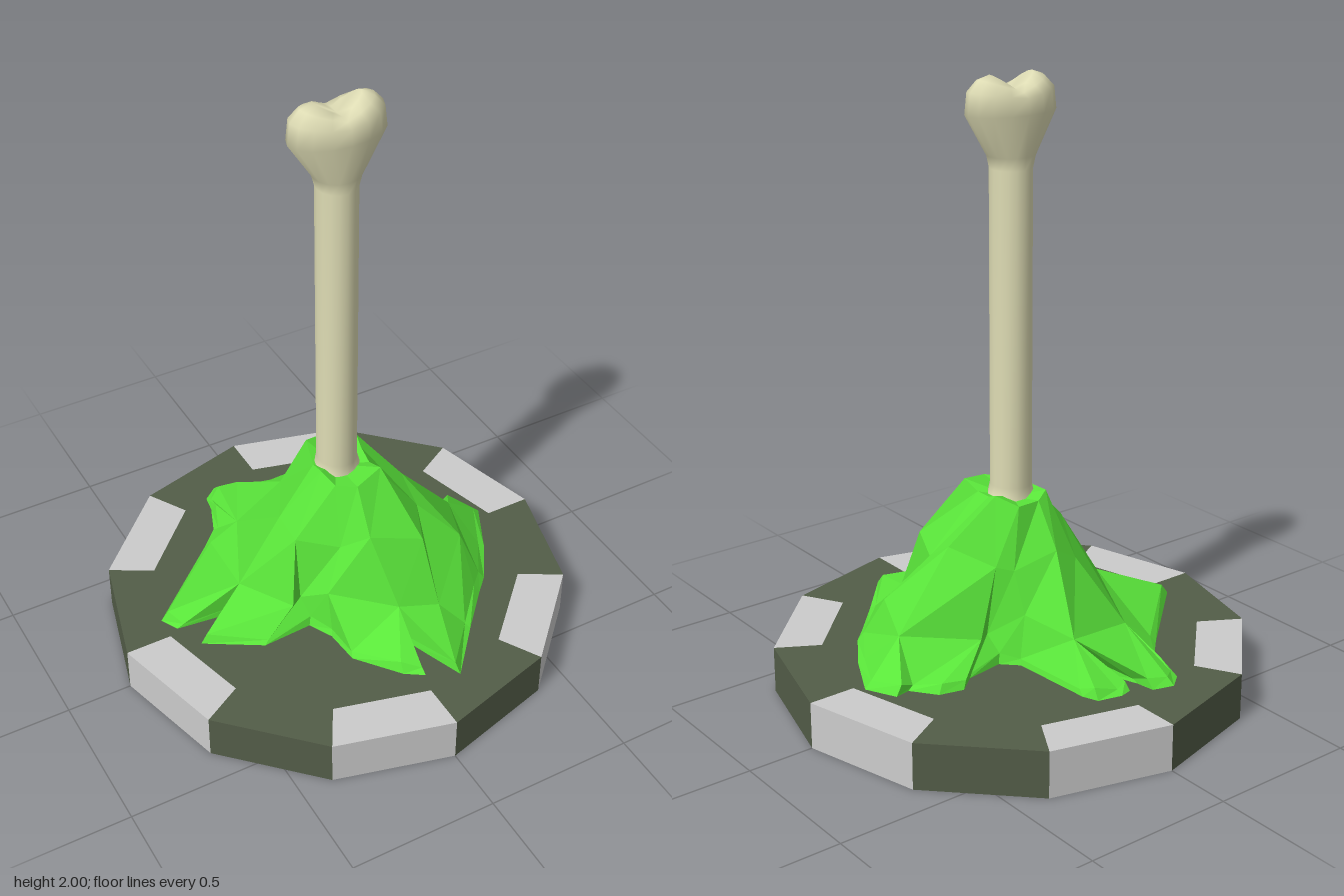
import * as THREE from 'three';

const BASE_R = 0.78, BASE_H = 0.155;

// Closed skin over rings of equal length (bottom to top, counterclockwise from above), ending in a tip
function loft(rings, bottom, top) {
  const n = rings[0].length, verts = rings.flat(), index = [];
  const lo = verts.push(bottom) - 1, hi = verts.push(top) - 1;
  const tri = (a, b, c) => {
    const [p, q, r] = [verts[a], verts[b], verts[c]];
    if (!p.equals(q) && !q.equals(r) && !r.equals(p)) index.push(a, b, c);
  };
  for (let i = 0; i < n; i++) {
    const j = (i + 1) % n, last = (rings.length - 1) * n;
    tri(lo, j, i);
    for (let k = 0; k < last; k += n) {
      tri(k + i, k + j, k + n + j);
      tri(k + i, k + n + j, k + n + i);
    }
    tri(last + i, last + j, hi);
  }
  const g = new THREE.BufferGeometry().setFromPoints(verts);
  g.setIndex(index);
  g.computeVertexNormals();
  return g;
}

function part(name, geometry, color, options = {}) {
  const mesh = new THREE.Mesh(geometry, new THREE.MeshStandardMaterial({ color, ...options }));
  mesh.name = name;
  return mesh;
}

// Twelve-sided plinth with light blocks let into every other side
function createBase() {
  const base = new THREE.Group();
  base.name = 'base';
  const corner = (k, s = 1) => {
    const a = k * Math.PI / 6;
    return new THREE.Vector2(Math.cos(a) * BASE_R * s, Math.sin(a) * BASE_R * s);
  };
  const slab = (points) => new THREE.ExtrudeGeometry(new THREE.Shape(points), { depth: BASE_H, bevelEnabled: false })
    .rotateX(-Math.PI / 2);
  const outline = [];
  for (let k = 0; k < 12; k += 2) {
    outline.push(corner(k), corner(k, 0.8), corner(k + 1, 0.8), corner(k + 1));
    base.add(part('edgeBlock', slab([corner(k), corner(k + 1), corner(k + 1, 0.8), corner(k, 0.8)]), 0xcccccc));
  }
  base.add(part('plinth', slab(outline), 0x535d48));
  return base;
}

// Ragged faceted heap: a lobed footprint drawn in to coarser rings above
function createMound() {
  const foot = [
    [0.6, -0.03], [0.55, -0.13], [0.5, -0.12], [0.44, -0.2], [0.36, -0.22], [0.3, -0.17], [0.17, -0.15],
    [0.12, -0.2], [0.1, -0.48], [0.08, -0.53], [0, -0.55], [-0.04, -0.54], [-0.05, -0.41], [-0.09, -0.52],
    [-0.1, -0.58], [-0.17, -0.6], [-0.22, -0.56], [-0.23, -0.5], [-0.27, -0.4], [-0.33, -0.34],
    [-0.62, -0.08], [-0.59, -0.02], [-0.42, 0.0], [-0.55, 0.08], [-0.37, 0.19], [-0.2, 0.18],
    [-0.16, 0.26], [-0.15, 0.38], [-0.04, 0.52], [0.02, 0.56], [0.05, 0.42], [0.12, 0.61],
    [0.26, 0.45], [0.38, 0.32], [0.43, 0.27], [0.52, 0.13],
  ];
  // Radii every 30 degrees, from +x round by +z
  const levels = [
    { y: 0.28, wave: 0.04, r: [0.45, 0.42, 0.42, 0.36, 0.27, 0.29, 0.37, 0.41, 0.38, 0.36, 0.2, 0.25] },
    { y: 0.48, wave: 0.04, r: [0.24, 0.27, 0.33, 0.25, 0.2, 0.22, 0.22, 0.26, 0.22, 0.21, 0.17, 0.18] },
    { y: 0.67, wave: 0.015, r: [0.1, 0.11, 0.16, 0.16, 0.13, 0.1, 0.08, 0.1, 0.12, 0.13, 0.14, 0.12] },
  ];
  const rings = [
    foot.map(([x, z]) => new THREE.Vector3(x, BASE_H, z)),
    foot.map(([x, z], i) => new THREE.Vector3(x * 0.96, 0.178 + 0.012 * Math.sin(i * 2.3), z * 0.96)),
  ];
  levels.forEach(({ y, wave, r }, level) => rings.push(foot.map(([x, z]) => {
    // Snap spokes to shared corners so that the facets grow larger uphill
    const k = (Math.round(Math.atan2(z, x) / (Math.PI / 6)) + 12) % 12;
    const a = k * Math.PI / 6 + 0.1 * Math.sin(k * 3.7 + level * 2);
    const radius = Math.min(r[k], 0.9 * Math.hypot(x, z));
    return new THREE.Vector3(radius * Math.cos(a), y + wave * Math.sin(k * 2.1 + level * 1.7), radius * Math.sin(a));
  })));
  const g = loft(rings, new THREE.Vector3(0, BASE_H, 0), new THREE.Vector3(0, 0.64, 0)).toNonIndexed();
  g.computeVertexNormals();
  return part('mound', g, 0x5ae63a, { flatShading: true });
}

// Upright bone with a two-lobed knuckle at each end, the lower one buried
function createBone() {
  const sides = 16, middle = 1.2;
  // Height above the middle, half width, half depth, dip between the lobes
  const half = [
    [0.51, 0.066, 0.07, 0], [0.55, 0.077, 0.075, 0], [0.68, 0.16, 0.092, 0],
    [0.75, 0.152, 0.088, 0.02], [0.785, 0.12, 0.064, 0.04], [0.798, 0.08, 0.035, 0.05],
  ];
  const ring = ([h, rx, rz, dip], end) => Array.from({ length: sides }, (_, i) => {
    const a = i / sides * Math.PI * 2, c = Math.cos(a), s = Math.sin(a);
    const y = middle + end * (h - dip * (1 - Math.abs(c)));
    return new THREE.Vector3(c * rx, y, 0.006 - s * rz);
  });
  const rings = [...[...half].reverse().map((p) => ring(p, -1)), ...half.map((p) => ring(p, 1))];
  const tip = (end) => new THREE.Vector3(0, middle + end * 0.745, 0.006);
  return part('bone', loft(rings, tip(-1), tip(1)), 0xdedcb4);
}

export function createModel() {
  const model = new THREE.Group();
  model.name = 'boneOnMound';
  model.add(createBase(), createMound(), createBone());
  return model;
}
